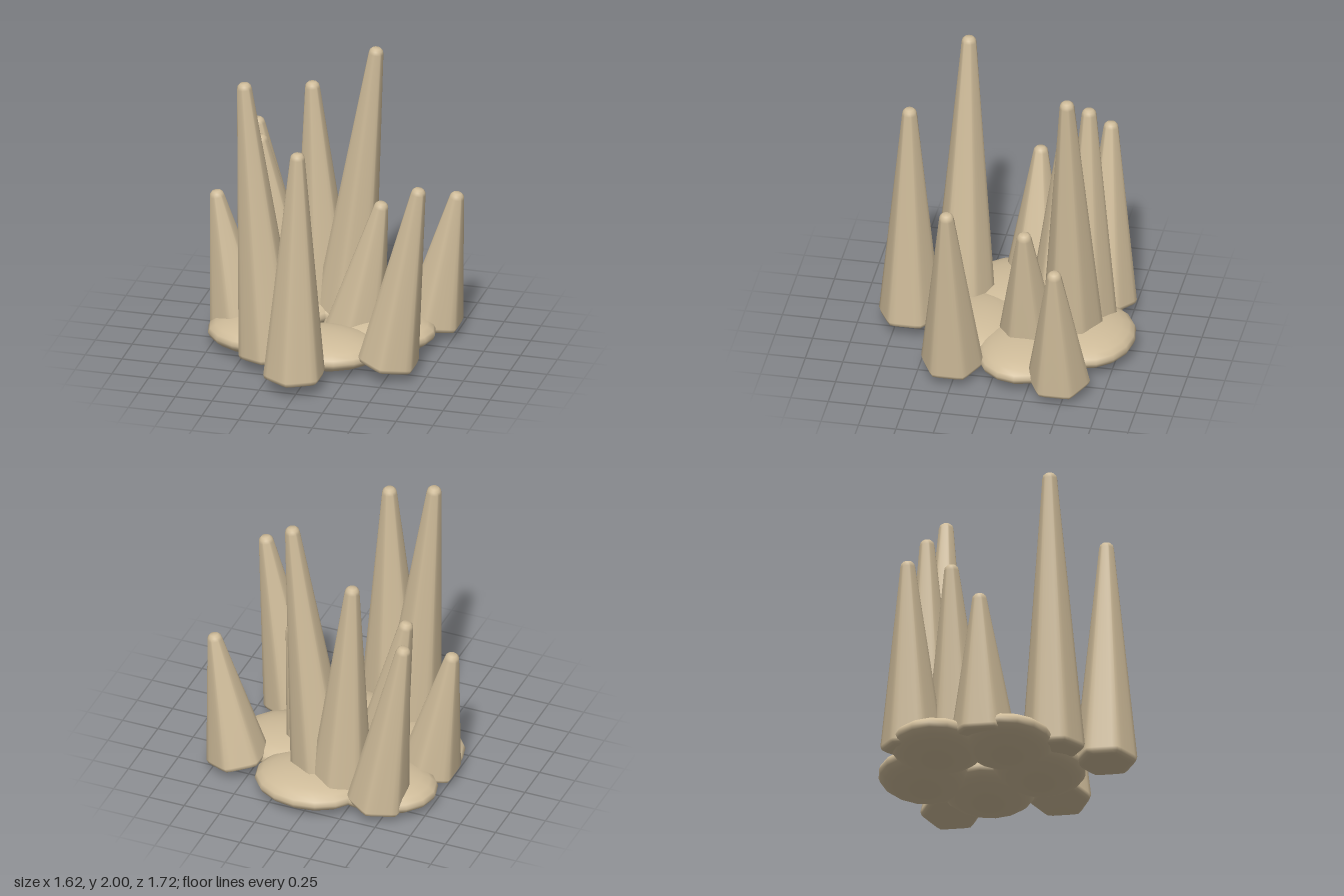
import * as THREE from 'three';
import { mergeVertices } from 'three/addons/utils/BufferGeometryUtils.js';

const stone = new THREE.MeshStandardMaterial({ color: 0xcfbc9a });
stone.name = 'tan stone';

// Tapered hexagonal spike with softened edges and a round tip, standing on y = 0
function spikeGeometry(length) {
  const profile = [
    [0, 0], [0.16, 0], [0.185, 0.003], [0.205, 0.015], [0.213, 0.04],
    [0.049, length - 0.04], [0.043, length - 0.017], [0.028, length - 0.003], [0, length],
  ].map(([r, y]) => new THREE.Vector2(r, y));
  const lathe = new THREE.LatheGeometry(profile, 36);
  const p = lathe.attributes.position;
  const side = Math.PI / 3;
  for (let i = 0; i < p.count; i++) {
    if (p.getY(i) > length / 2) continue; // the tip stays round
    const angle = Math.atan2(p.getX(i), p.getZ(i)) + 2 * Math.PI;
    const hex = Math.cos(side / 2) / Math.cos((angle % side) - side / 2);
    const k = Math.min(hex, 0.975); // slightly blunted corners
    p.setX(i, p.getX(i) * k);
    p.setZ(i, p.getZ(i) * k);
  }
  lathe.deleteAttribute('normal');
  lathe.deleteAttribute('uv');
  const geometry = mergeVertices(lathe, 1e-5);
  geometry.computeVertexNormals();
  return geometry;
}

export function createModel() {
  const model = new THREE.Group();
  model.name = 'spikeCluster';

  // Ring of flattened mounds forming the base
  const mound = new THREE.SphereGeometry(1, 16, 12);
  for (let i = 0; i < 5; i++) {
    const a = (i * 2 * Math.PI) / 5;
    const mesh = new THREE.Mesh(mound, stone);
    mesh.name = 'baseMound' + (i + 1);
    mesh.scale.set(0.38, 0.11, 0.31);
    mesh.position.set(-0.085 + 0.395 * Math.cos(a), 0.11, -0.175 + 0.395 * Math.sin(a));
    model.add(mesh);
  }

  // Spikes: base x, tip x, z, height of the tip
  const spikes = [
    [-0.04, -0.015, 0.655, 1.68],
    [-0.29, -0.465, 0.345, 2.0],
    [0.49, 0.705, 0.27, 1.35],
    [-0.6, -0.77, -0.075, 1.02],
    [-0.31, -0.535, -0.295, 1.35],
    [-0.44, -0.63, -0.57, 1.35],
    [-0.15, -0.235, -0.5, 1.68],
    [0.0, 0.22, -0.44, 2.0],
    [0.14, 0.33, -0.175, 1.02],
    [0.59, 0.765, -0.46, 1.02],
  ];
  const baseY = 0.075;
  spikes.forEach(([x, tipX, z, top], i) => {
    const dx = tipX - x, dy = top - baseY;
    const mesh = new THREE.Mesh(spikeGeometry(Math.hypot(dx, dy)), stone);
    mesh.name = 'spike' + (i + 1);
    mesh.position.set(x, baseY, z);
    mesh.rotation.z = -Math.atan2(dx, dy);
    model.add(mesh);
  });

  return model;
}
